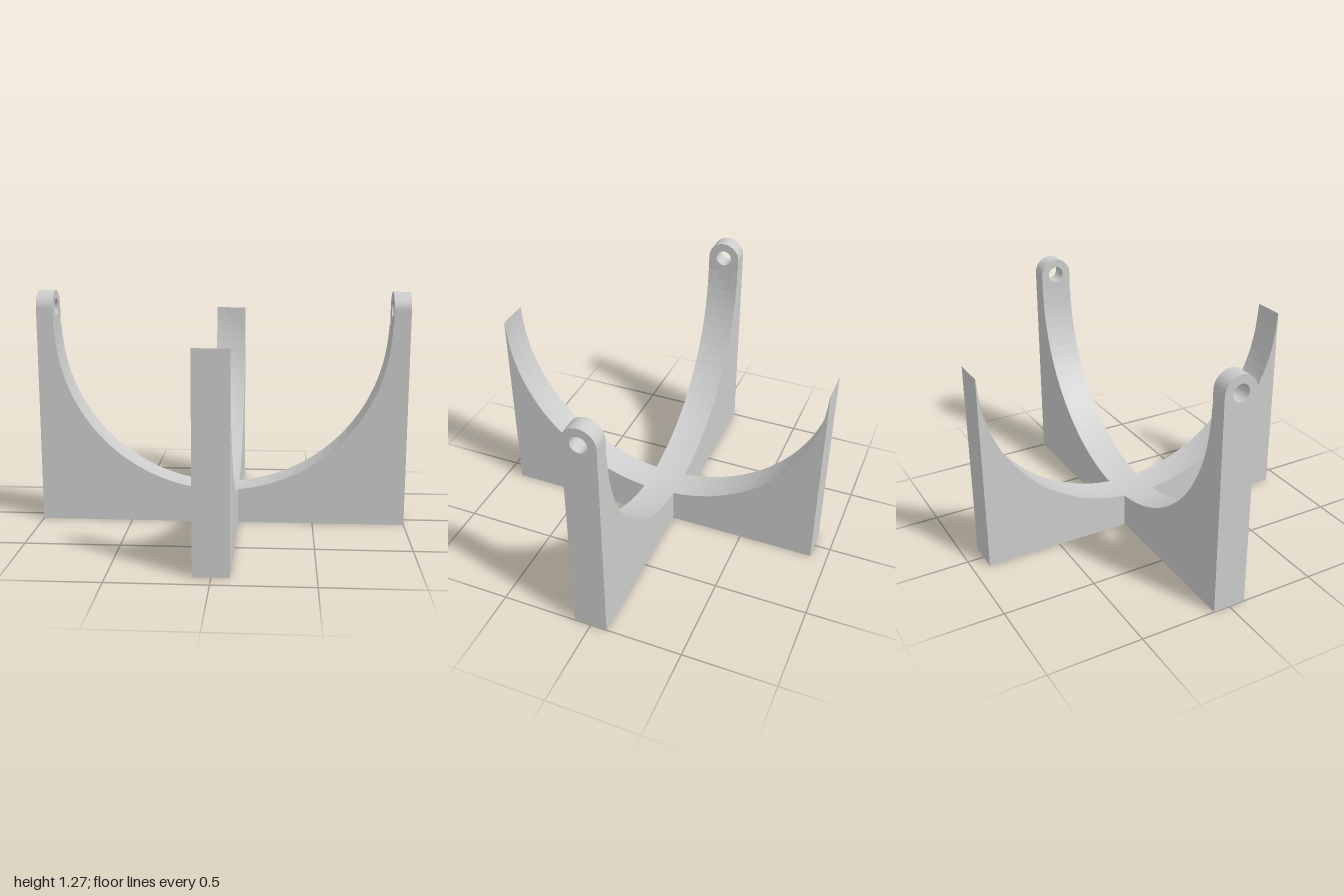
import * as THREE from 'three';

const R = 0.91;      // radius of the spherical cradle
const CY = 1.09;     // height of the sphere's centre
const W = 0.09;      // half thickness of the bars
const SEG = 48;      // facets over a half circle

const material = new THREE.MeshStandardMaterial({ color: 0xcccccc, flatShading: true });

// Points of the cradle curve between two angles
function arc(from, to, n) {
  return Array.from({ length: n + 1 }, (_, i) => {
    const a = from + (to - from) * i / n;
    return new THREE.Vector2(R * Math.cos(a), CY - R * Math.sin(a));
  });
}

// Extrude a profile across the bar and hollow its curved edge to the sphere
function cradlePlate(points) {
  const geo = new THREE.ExtrudeGeometry(new THREE.Shape(points), {
    depth: 2 * W, steps: 6, bevelEnabled: false,
  });
  geo.translate(0, 0, -W);
  const p = geo.attributes.position;
  for (let i = 0; i < p.count; i++) {
    const x = p.getX(i), z = p.getZ(i);
    const curve = CY - Math.sqrt(Math.max(0, R * R - x * x));
    if (Math.abs(x) < R - 1e-4 && Math.abs(p.getY(i) - curve) < 1e-4) {
      p.setY(i, CY - Math.sqrt(Math.max(0, R * R - x * x - z * z)));
    }
  }
  geo.computeVertexNormals();
  return geo;
}

export function createModel() {
  const model = new THREE.Group();
  const add = (name, geo) => {
    const mesh = new THREE.Mesh(geo, material);
    mesh.name = name;
    model.add(mesh);
    return mesh;
  };
  const v = (x, y) => new THREE.Vector2(x, y);

  // Long bar from side to side, carrying the ears
  add('crossBar', cradlePlate([
    v(-1, 0), v(1, 0), v(1, CY), ...arc(0, Math.PI, SEG), v(-1, CY),
  ]));

  // Front and back arms, ending in thin tips
  const armGeo = cradlePlate([
    v(W, 0), v(R, 0), ...arc(0, Math.acos(W / R), SEG / 2),
  ]);
  add('frontArm', armGeo).rotation.y = -Math.PI / 2;
  add('backArm', armGeo).rotation.y = Math.PI / 2;

  // Rounded ears with a pivot hole
  const earShape = new THREE.Shape();
  earShape.moveTo(-W, CY);
  earShape.lineTo(W, CY);
  earShape.lineTo(W, CY + W);
  earShape.absarc(0, CY + W, W, 0, Math.PI, false);
  earShape.closePath();
  const hole = new THREE.Path();
  hole.absarc(0, CY + W, W / 2, 0, Math.PI * 2, true);
  earShape.holes.push(hole);
  const earGeo = new THREE.ExtrudeGeometry(earShape, {
    depth: 1 - R, bevelEnabled: false, curveSegments: 24,
  });
  earGeo.translate(0, 0, R);
  add('leftEar', earGeo).rotation.y = Math.PI / 2;
  add('rightEar', earGeo).rotation.y = -Math.PI / 2;

  return model;
}
